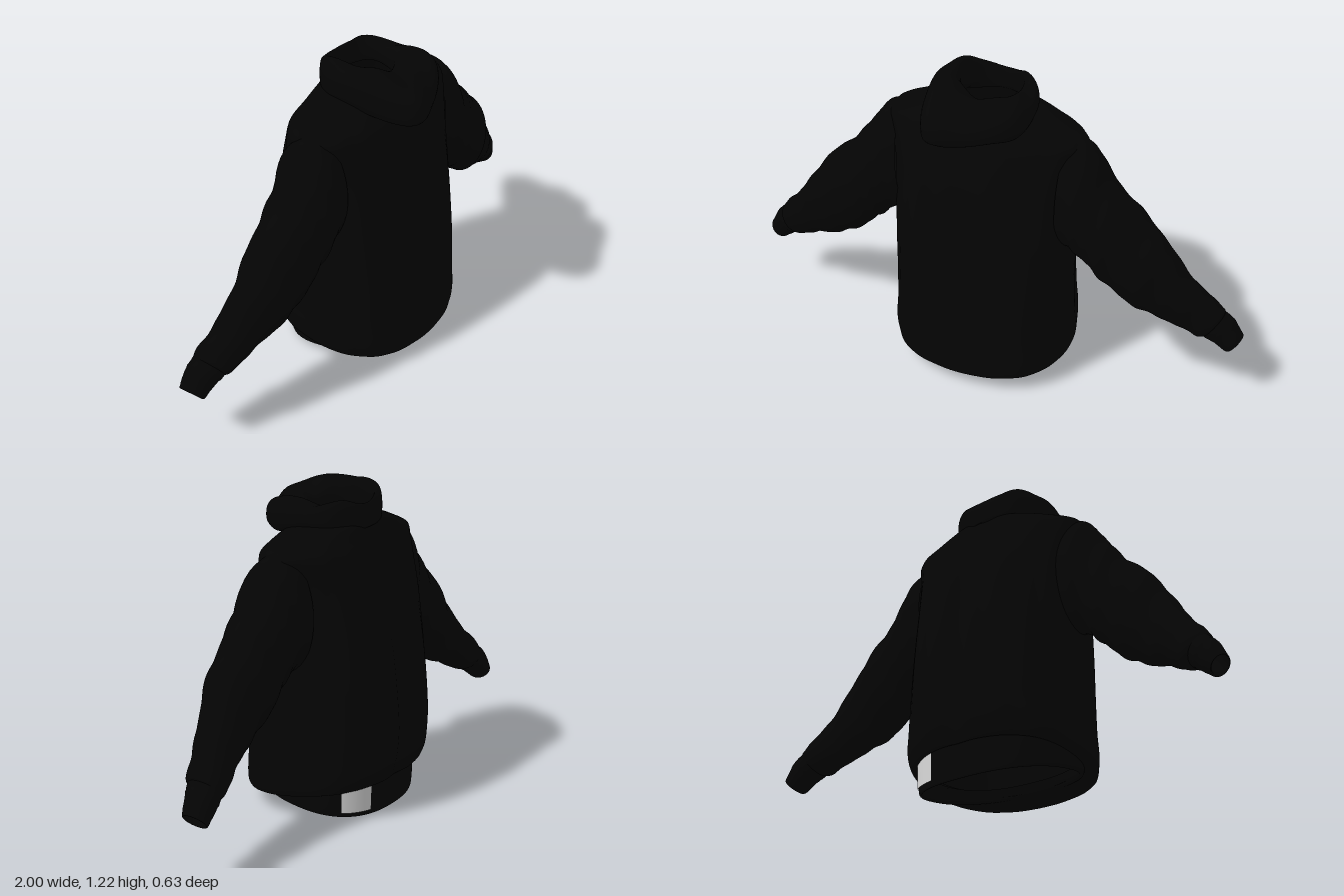
import * as THREE from 'three';

const black = new THREE.MeshStandardMaterial({ color: 0x040404, side: THREE.DoubleSide });
black.name = 'black cloth';
const grey = new THREE.MeshStandardMaterial({ color: 0xdcdcdc, side: THREE.DoubleSide });
grey.name = 'pale grey label';

// Smoothly interpolates a list of stations (arrays of numbers) at t in 0..1
function sample(list, t, loop) {
  const n = list.length, f = t * (loop ? n : n - 1);
  const i = Math.min(Math.floor(f), loop ? n : n - 2), k = f - i;
  const at = (j) => list[loop ? (j + n) % n : Math.max(0, Math.min(n - 1, j))];
  const [a, b, c, d] = [at(i - 1), at(i), at(i + 1), at(i + 2)];
  return b.map((_, q) => 0.5 * (2 * b[q] + (c[q] - a[q]) * k
    + (2 * a[q] - 5 * b[q] + 4 * c[q] - d[q]) * k * k
    + (3 * b[q] - a[q] - 3 * c[q] + d[q]) * k * k * k));
}

// Skin over cross-sections; section(params, angle, t) gives one point [x, y, z]
function loft(name, list, section, { rows = 60, cols = 72, loop = false, from = 0, to = 2 * Math.PI, material = black } = {}) {
  const pos = [], idx = [], closed = to - from > 6.28;
  const w = closed ? cols : cols + 1, h = loop ? rows : rows + 1;
  for (let r = 0; r < h; r++) {
    const p = sample(list, r / rows, loop);
    for (let c = 0; c < w; c++) pos.push(...section(p, from + (to - from) * c / cols, r / rows));
  }
  for (let r = 0; r < rows; r++) for (let c = 0; c < cols; c++) {
    const r2 = (r + 1) % h, c2 = (c + 1) % w;
    const a = r * w + c, b = r * w + c2, d = r2 * w + c, e = r2 * w + c2;
    idx.push(a, d, b, b, d, e);
  }
  const g = new THREE.BufferGeometry();
  g.setAttribute('position', new THREE.Float32BufferAttribute(pos, 3));
  g.setIndex(idx);
  g.computeVertexNormals();
  const mesh = new THREE.Mesh(g, material);
  mesh.name = name;
  return mesh;
}

const pow = (v, e) => Math.sign(v) * Math.abs(v) ** e;

// Rounded outline: [y at front, y at back, half width, front z, back z, front squareness]
function outline([yf, yb, w, zf, zb, e], a) {
  const power = Math.sin(a) > 0 ? e : 0.82;
  const x = w * pow(Math.cos(a), power), s = pow(Math.sin(a), power);
  const z = s > 0 ? s * zf : -s * zb;
  return [x, yb + (yf - yb) * (z - zb) / (zf - zb), z];
}

// Body outline with soft vertical folds, a crease down the back and a hollow behind the left arm
function torsoSection(p, a, t) {
  const [x, y, z] = outline(p, a);
  const fade = Math.sin(Math.PI * t);
  const fold = fade * (0.01 * Math.sin(9 * a + 3 * t) + 0.008 * Math.sin(17 * a - 5 * t));
  const crease = z < 0 ? 1 - 0.1 * fade * Math.exp(-((x / 0.04) ** 2)) : 1;
  const hollow = x > 0 ? 1 - 0.08 * fade * THREE.MathUtils.smoothstep(-z, 0, 0.1) : 1;
  return [x * (1 + fold * 0.6) * hollow, y, z * (1 + fold) * crease];
}

const torsoRings = [
  [0.085, 0.14, 0.285, 0.22, -0.245, 0.84], [0.055, 0.125, 0.325, 0.275, -0.262, 0.84],
  [0.052, 0.135, 0.348, 0.302, -0.276, 0.83], [0.10, 0.19, 0.358, 0.305, -0.298, 0.82],
  [0.2, 0.26, 0.35, 0.30, -0.31, 0.80], [0.35, 0.35, 0.345, 0.293, -0.314, 0.77],
  [0.5, 0.5, 0.346, 0.277, -0.301, 0.75], [0.65, 0.65, 0.347, 0.26, -0.28, 0.75],
  [0.8, 0.8, 0.35, 0.24, -0.25, 0.78], [0.9, 0.9, 0.365, 0.22, -0.215, 0.81],
  [0.97, 0.97, 0.382, 0.20, -0.185, 0.83], [1.01, 1.01, 0.38, 0.185, -0.165, 0.83],
  [1.04, 1.04, 0.32, 0.165, -0.15, 0.84], [1.075, 1.075, 0.23, 0.135, -0.138, 0.86],
  [1.095, 1.095, 0.15, 0.11, -0.13, 0.9], [1.115, 1.115, 0.12, 0.10, -0.127, 0.95],
];

// Waistband, dipping toward the back and tucked up under the front
const hemRings = [
  [0.12, 0.10, 0.285, 0.21, -0.235, 0.84], [0.085, 0.008, 0.29, 0.222, -0.24, 0.84],
  [0.08, 0.0, 0.302, 0.235, -0.248, 0.84], [0.085, 0.03, 0.308, 0.242, -0.251, 0.84],
  [0.10, 0.10, 0.312, 0.248, -0.253, 0.84], [0.12, 0.15, 0.312, 0.25, -0.253, 0.84],
];
const labelRings = [[0.09, 0.018, 0.313, 0.28, -0.254, 0.84], [0.12, 0.134, 0.317, 0.28, -0.257, 0.84]];

// Sleeve: [top x, top y, bottom x, bottom y, back z, front z]
const sleeveRings = [
  [0.33, 1.03, 0.31, 0.57, -0.11, 0.15], [0.41, 1.0, 0.36, 0.565, -0.115, 0.165],
  [0.48, 0.90, 0.42, 0.525, -0.10, 0.163], [0.57, 0.80, 0.48, 0.465, -0.10, 0.15],
  [0.68, 0.695, 0.57, 0.395, -0.09, 0.135], [0.77, 0.565, 0.66, 0.35, -0.085, 0.10],
  [0.855, 0.455, 0.75, 0.31, -0.10, 0.06], [0.92, 0.385, 0.83, 0.268, -0.118, 0.035],
  [0.93, 0.36, 0.86, 0.265, -0.11, 0.015],
];
const cuffRings = [
  [0.91, 0.385, 0.835, 0.282, -0.11, 0.022], [0.94, 0.353, 0.87, 0.255, -0.12, 0.013],
  [0.965, 0.33, 0.895, 0.238, -0.122, 0.0], [1.0, 0.268, 0.942, 0.203, -0.12, -0.018],
  [0.99, 0.272, 0.945, 0.215, -0.112, -0.026], [0.95, 0.325, 0.90, 0.26, -0.108, -0.02],
];

// Slanted ellipse with wrinkles that fade out at both ends
function tubeSection(side, wrinkle) {
  return ([tx, ty, bx, by, z0, z1], a, t) => {
    const r = 1 + wrinkle * Math.min(1, t * 4, (1 - t) * 6) * (Math.sin(34 * t + 1.6 * Math.cos(a) + side)
      + 0.5 * Math.sin(61 * t + 2 * Math.sin(a)));
    const u = Math.sin(a) * r / 2, v = Math.cos(a) * r / 2;
    return [side * ((tx + bx) / 2 + (tx - bx) * u), (ty + by) / 2 + (ty - by) * u, (z0 + z1) / 2 + (z1 - z0) * v];
  };
}

// Collar roll, going round the neck: inner x, y, z, outer x, y, z, half height
const collarStations = [
  [0.11, 1.12, -0.01, 0.195, 1.115, 0.02, 0.045], [0.085, 1.12, 0.065, 0.18, 1.105, 0.19, 0.065],
  [0, 1.12, 0.10, 0.02, 1.08, 0.285, 0.06], [-0.08, 1.14, 0.06, -0.13, 1.09, 0.305, 0.08],
  [-0.11, 1.155, -0.01, -0.195, 1.135, 0.06, 0.07], [-0.085, 1.14, -0.095, -0.14, 1.125, -0.10, 0.065],
  [0, 1.12, -0.125, 0, 1.11, -0.145, 0.045], [0.09, 1.135, -0.095, 0.14, 1.12, -0.092, 0.052],
];
function collarSection([xi, yi, zi, xo, yo, zo, h], a, t) {
  const k = 0.5 + 0.5 * pow(Math.cos(a), 0.8);
  const rise = h * pow(Math.sin(a), 0.8) * (1 + 0.07 * Math.sin(12 * Math.PI * t + 3 * a));
  return [xi + (xo - xi) * k, yi + (yo - yi) * k + rise, zi + (zo - zi) * k];
}

export function createModel() {
  const model = new THREE.Group();
  model.name = 'pullover';
  model.add(
    loft('torso', torsoRings, torsoSection, { rows: 90, cols: 120 }),
    loft('waistband', hemRings, outline, { rows: 30, cols: 96 }),
    loft('waistLabel', labelRings, outline, { rows: 6, cols: 10, from: -1.2, to: -0.72, material: grey }),
    loft('collar', collarStations, collarSection, { rows: 96, cols: 36, loop: true }),
  );
  for (const side of [1, -1]) {
    const word = side > 0 ? 'left' : 'right';
    model.add(
      loft(word + 'Sleeve', sleeveRings, tubeSection(side, 0.025), { rows: 90, cols: 48 }),
      loft(word + 'Cuff', cuffRings, tubeSection(side, 0.01), { rows: 30, cols: 48 }),
    );
  }
  return model;
}
